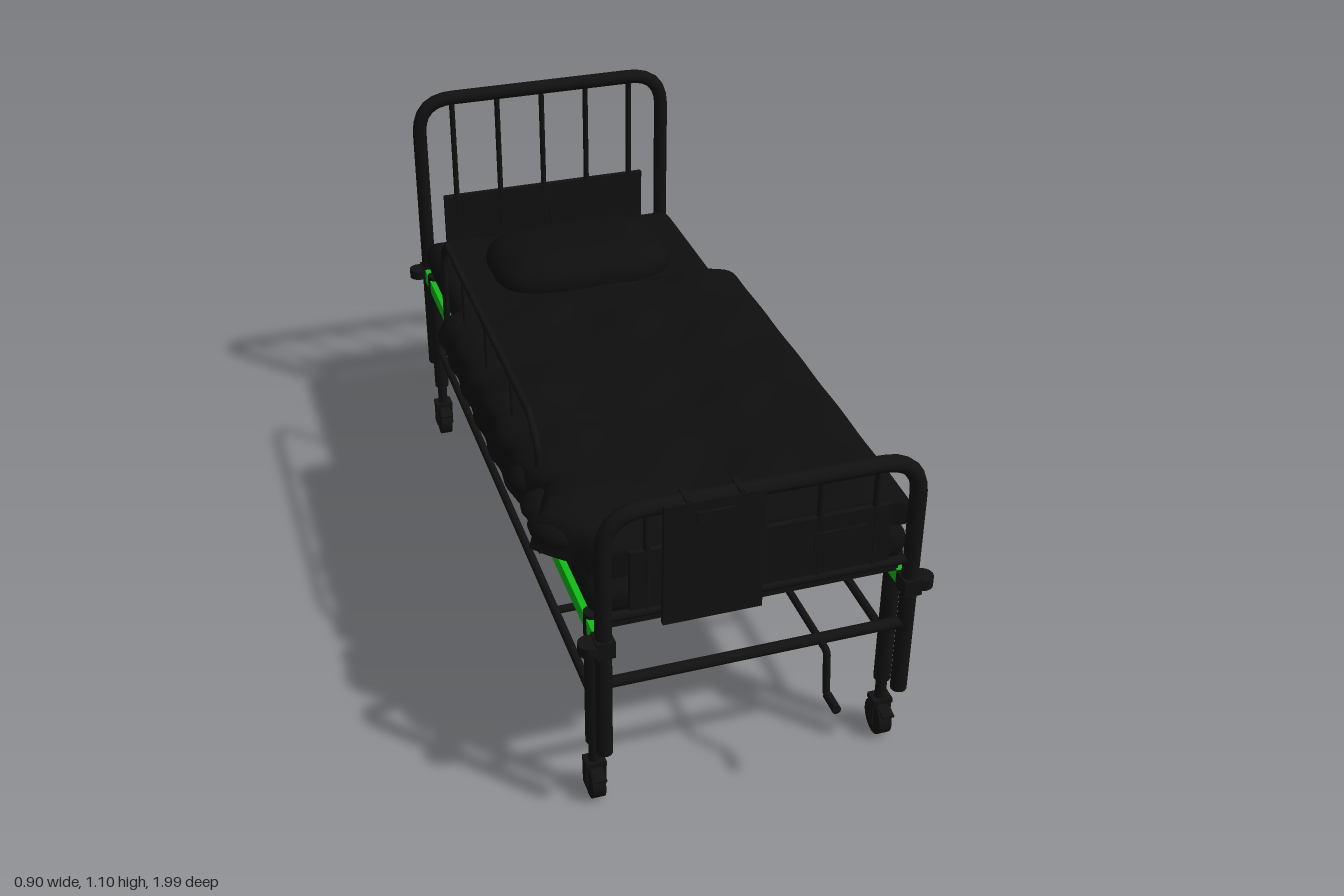
import * as THREE from 'three';
import { RoundedBoxGeometry } from 'three/addons/geometries/RoundedBoxGeometry.js';
import { ParametricGeometry } from 'three/addons/geometries/ParametricGeometry.js';

const V = (x, y, z) => new THREE.Vector3(x, y, z);
const CX = 0.02, XL = -0.347, XR = 0.39;

export function createModel() {
  const model = new THREE.Group();
  model.name = 'hospitalBed';
  const mat = (name, color, side = THREE.FrontSide) => {
    const m = new THREE.MeshStandardMaterial({ color, side });
    m.name = name;
    return m;
  };
  const frameMat = mat('blackSteel', 0x111111);
  const clothMat = mat('blackCloth', 0x0e0e0e, THREE.DoubleSide);
  const railMat = mat('greenPaint', 0x12bb15);

  const add = (name, geo, m, x = 0, y = 0, z = 0) => {
    const mesh = new THREE.Mesh(geo, m);
    mesh.name = name;
    mesh.position.set(x, y, z);
    model.add(mesh);
    return mesh;
  };
  const box = (name, w, h, d, x, y, z, m = frameMat) => add(name, new THREE.BoxGeometry(w, h, d), m, x, y, z);
  // round bar between two points
  const bar = (name, a, b, r, sides = 12) => {
    const mesh = add(name, new THREE.CylinderGeometry(r, r, a.distanceTo(b), sides), frameMat);
    mesh.position.copy(a).add(b).multiplyScalar(0.5);
    mesh.quaternion.setFromUnitVectors(V(0, 1, 0), b.clone().sub(a).normalize());
    return mesh;
  };
  // bent pipe through points, with the inner corners rounded
  const pipe = (name, pts, r, corner, segs = 90) => {
    const path = new THREE.CurvePath();
    let from = pts[0];
    for (let i = 1; i < pts.length - 1; i++) {
      const p = pts[i];
      const a = p.clone().add(pts[i - 1].clone().sub(p).setLength(corner));
      const b = p.clone().add(pts[i + 1].clone().sub(p).setLength(corner));
      path.add(new THREE.LineCurve3(from, a));
      path.add(new THREE.QuadraticBezierCurve3(a, p, b));
      from = b;
    }
    path.add(new THREE.LineCurve3(from, pts[pts.length - 1]));
    add(name, new THREE.TubeGeometry(path, segs, r, 12), frameMat);
  };

  // head and foot ends: hoop, panel, spindles, cross bars and corner knobs
  for (const [end, z, top] of [['head', -0.965, 1.076], ['foot', 0.877, 0.876]]) {
    pipe(end + 'Hoop', [V(XL, 0.212, z), V(XL, top, z), V(XR, top, z), V(XR, 0.212, z)], 0.02, 0.1);
    box(end + 'Panel', 0.615, 0.155, 0.014, CX, 0.69, z);
    for (let i = -2; i <= 2; i++) {
      const x = CX + i * 0.134;
      bar(end + 'Spindle', V(x, 0.6, z), V(x, top, z), 0.008);
    }
    bar(end + 'UpperCrossBar', V(XL, 0.6, z), V(XR, 0.6, z), 0.012);
    bar(end + 'LowerCrossBar', V(XL, 0.415, z), V(XR, 0.415, z), 0.014);
    for (const [x, s] of [[XL, -1], [XR, 1]]) {
      bar(end + 'PostCap', V(x, 0.21, z), V(x, 0.215, z), 0.02);
      bar(end + 'Knob', V(x + s * 0.032, 0.515, z), V(x + s * 0.032, 0.541, z), 0.027, 16);
      box(end + 'Bracket', 0.044, 0.044, 0.05, x, 0.526, z);
    }
  }

  // legs with casters
  for (const x of [XL, XR]) for (const z of [0.79, -0.88]) {
    bar('legUpper', V(x, 0.17, z), V(x, 0.555, z), 0.021);
    bar('legLower', V(x, 0.09, z), V(x, 0.18, z), 0.014);
    box('casterTop', 0.05, 0.014, 0.04, x, 0.104, z);
    for (const s of [-1, 1]) box('casterFork', 0.005, 0.075, 0.03, x + s * 0.0225, 0.072, z);
    bar('casterAxle', V(x - 0.024, 0.045, z), V(x + 0.024, 0.045, z), 0.008);
    bar('casterWheel', V(x - 0.016, 0.045, z), V(x + 0.016, 0.045, z), 0.045, 24);
    const pedal = box('brakePedal', 0.03, 0.006, 0.05, x, 0.09, z + 0.032);
    pedal.rotation.x = 0.25;
  }

  // green side rails, deck and low stretchers
  for (const x of [XL, XR]) {
    box('sideRail', 0.034, 0.04, 1.79, x, 0.525, -0.045, railMat);
    bar('lowStretcher', V(x, 0.3, 0.79), V(x, 0.3, -0.88), 0.011);
  }
  box('deck', 0.715, 0.022, 1.77, CX, 0.55, -0.045);
  for (const z of [0.456, -0.546]) bar('lowCrossBar', V(XL, 0.3, z), V(XR, 0.3, z), 0.01);
  for (let i = 0; i < 5; i++) box('deckSlat', 0.7, 0.014, 0.025, CX, 0.534, 0.7 - i * 0.37);

  // crank with its drive rod
  pipe('crank', [V(0.172, 0.415, -0.41), V(0.172, 0.415, 0.925), V(0.172, 0.3, 0.937), V(0.172, 0.3, 1.0)], 0.009, 0.012, 220);
  bar('crankGrip', V(0.172, 0.3, 0.945), V(0.172, 0.3, 1.0), 0.011);
  bar('crankEnd', V(0.172, 0.415, -0.412), V(0.172, 0.415, -0.4), 0.011);
  bar('crankHanger', V(0.172, 0.415, -0.4), V(0.172, 0.55, -0.4), 0.009);

  // guard rail with uprights and clamps
  const gx = -0.378;
  pipe('guardRail', [V(gx, 0.5, 0.465), V(gx, 0.79, 0.465), V(gx, 0.845, 0.395),
    V(gx, 0.845, -0.5), V(gx, 0.79, -0.55), V(gx, 0.5, -0.565)], 0.009, 0.02, 120);
  for (const z of [0.22, -0.045, -0.3]) bar('guardUpright', V(gx, 0.5, z), V(gx, 0.845, z), 0.006);
  for (const z of [0.465, 0.22, -0.045, -0.3, -0.565]) box('guardClamp', 0.03, 0.05, 0.03, gx + 0.006, 0.525, z);

  // mattress and pillow
  add('mattress', new RoundedBoxGeometry(0.77, 0.09, 1.77, 5, 0.04), clothMat, CX, 0.605, -0.045);
  const pillow = new THREE.SphereGeometry(1, 40, 24);
  const pp = pillow.attributes.position;
  const soft = (t, e) => Math.sign(t) * Math.pow(Math.abs(t), e);
  for (let i = 0; i < pp.count; i++) {
    pp.setXYZ(i, soft(pp.getX(i), 0.55) * 0.26, pp.getY(i) * 0.075, soft(pp.getZ(i), 0.6) * 0.175);
  }
  pillow.computeVertexNormals();
  add('pillow', pillow, clothMat, 0.04, 0.66, -0.67);

  // blanket: a wrinkled cross-section swept along the bed
  const interp = (pts, t) => {
    for (let i = 1; i < pts.length; i++) {
      if (t <= pts[i][0]) {
        const [[a, p], [b, q]] = [pts[i - 1], pts[i]];
        return THREE.MathUtils.lerp(p, q, Math.max(0, (t - a) / (b - a)));
      }
    }
    return pts[pts.length - 1][1];
  };
  const leftEdge = [[-0.41, -0.448], [0.3, -0.445], [0.48, -0.435], [0.54, -0.4], [0.65, -0.455], [0.74, -0.37], [0.81, -0.355]];
  const height = [[-0.41, 0.715], [0, 0.725], [0.12, 0.745], [0.3, 0.735], [0.45, 0.75], [0.6, 0.76], [0.7, 0.74], [0.81, 0.71]];
  const blanket = new ParametricGeometry((u, v, out) => {
    const k = THREE.MathUtils.clamp((v - 0.03) / 0.94, 0, 1);
    const z = -0.41 + 1.22 * k;
    const xl = interp(leftEdge, z) + 0.004 * Math.sin(z * 43);
    const h = interp(height, z);
    const section = new THREE.CatmullRomCurve3([
      V(0.448, 0.585, 0), V(0.446, 0.64, 0), V(0.42, 0.69, 0), V(0.36, 0.712, 0), V(0.2, 0.718, 0),
      V(0, 0.72, 0), V(-0.18, (h + 0.72) / 2, 0), V(-0.31, h, 0), V(xl + 0.03, h - 0.015, 0), V(xl, 0.655, 0),
    ]);
    const p = section.getPoint(u);
    const mid = Math.sin(Math.PI * u);
    p.y += mid * 0.005 * Math.sin(14 * (p.x * 1.6 + z)) * Math.sin(9 * z - 5 * p.x);
    const hem = Math.min(1, v / 0.03, (1 - v) / 0.03);
    if (hem < 1) p.y = THREE.MathUtils.lerp(Math.min(p.y, 0.645), p.y, hem);
    out.set(p.x, p.y, z + (k < 0.1 ? 0.05 * u * (1 - k * 10) : 0));
  }, 64, 72);
  add('blanket', blanket, clothMat);

  // rumpled cloth hanging over the guard side
  for (const [z, r] of [[0.65, 0.045], [0.56, 0.035], [0.44, 0.035]]) {
    const fold = add('blanketFold', new THREE.SphereGeometry(1, 16, 12), clothMat, -0.395, 0.695, z);
    fold.scale.set(0.05, 0.036, r * 1.6);
    fold.rotation.y = 0.4;
  }

  // chart holder hooked over the foot end, and a label plate
  box('chartBoard', 0.232, 0.315, 0.012, -0.104, 0.733, 0.904);
  box('chartClip', 0.085, 0.03, 0.008, -0.104, 0.85, 0.912);
  for (const x of [-0.165, -0.043]) box('chartHook', 0.012, 0.01, 0.05, x, 0.893, 0.884);
  box('labelPlate', 0.125, 0.05, 0.006, 0.203, 0.702, 0.886);

  return model;
}
